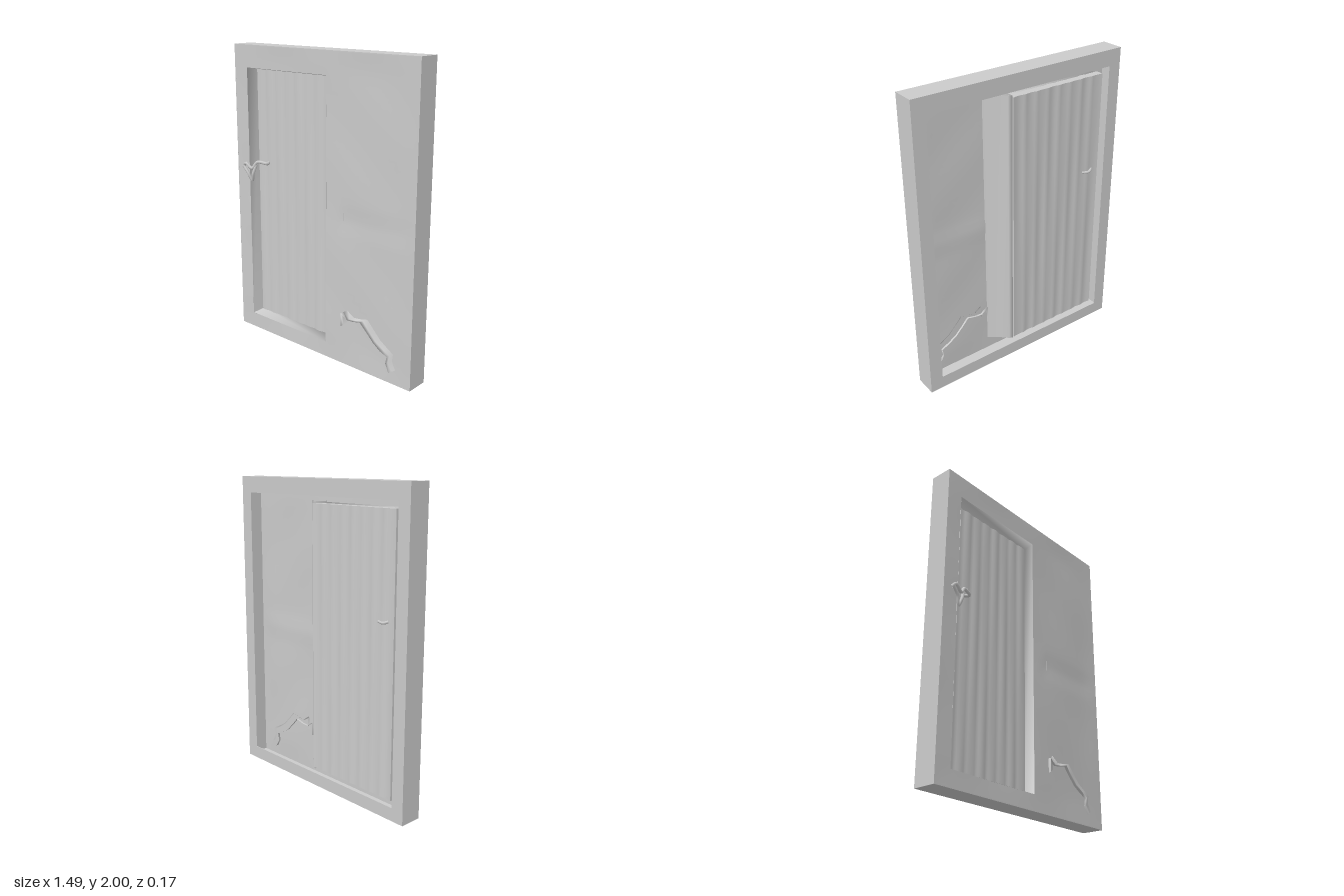
import * as THREE from 'three';

const material = new THREE.MeshStandardMaterial({ color: 0xcccccc, side: THREE.DoubleSide });

function add(parent, name, geometry) {
  const mesh = new THREE.Mesh(geometry, material);
  mesh.name = name;
  parent.add(mesh);
}

// Shift every vertex in z by a smooth rule of x and y
function warp(geometry, rule) {
  const p = geometry.attributes.position;
  for (let i = 0; i < p.count; i++) p.setZ(i, p.getZ(i) + rule(p.getX(i), p.getY(i)));
  geometry.computeVertexNormals();
  return geometry;
}

// Corner points of an upright rectangle
const corners = ([x0, x1, y0, y1]) => [[x0, y0], [x1, y0], [x1, y1], [x0, y1]]
  .map(([x, y]) => new THREE.Vector2(x, y));

// Flat rectangular ring between two rectangles, from z0 to z1
function ring(outer, inner, z0, z1) {
  const shape = new THREE.Shape(corners(outer));
  shape.holes.push(new THREE.Path(corners(inner)));
  return new THREE.ExtrudeGeometry(shape, { depth: z1 - z0, bevelEnabled: false }).translate(0, 0, z0);
}

// Surface through equal rows of points
function loft(sections) {
  const n = sections[0].length, index = [];
  for (let s = 1; s < sections.length; s++) {
    for (let r = 0; r < n - 1; r++) {
      const a = (s - 1) * n + r, b = a + n;
      index.push(a, b, a + 1, b, b + 1, a + 1);
    }
  }
  const geometry = new THREE.BufferGeometry();
  geometry.setAttribute('position', new THREE.Float32BufferAttribute(sections.flat(2), 3));
  geometry.setIndex(index);
  geometry.computeVertexNormals();
  return geometry;
}

const tube = (points, radius) => new THREE.TubeGeometry(
  new THREE.CatmullRomCurve3(points.map((p) => new THREE.Vector3(...p))), 24, radius, 6);

const OUTER = [-0.748, 0.743, 0.005, 2];
const OPENING = [-0.635, 0.06, 0.108, 1.852];
const RECESS = [-0.612, 0.06, 0.125, 1.838];

// Dented plaster skin with the doorway left out of its grid
function plasterSkin() {
  const [x0, x1, y0, y1] = OUTER, [ox0, ox1, oy0, oy1] = OPENING;
  const nx = 30, ny = 40, stepX = (x1 - x0) / nx, stepY = (y1 - y0) / ny;
  const skin = new THREE.PlaneGeometry(x1 - x0, y1 - y0, nx, ny)
    .translate((x0 + x1) / 2, (y0 + y1) / 2, 0.058);
  const p = skin.attributes.position;
  const snap = (v, step, stops) => stops.find((s) => Math.abs(s - v) <= step / 2) ?? v;
  for (let i = 0; i < p.count; i++) {
    p.setX(i, snap(p.getX(i), stepX, [ox0, ox1]));
    p.setY(i, snap(p.getY(i), stepY, [oy0, oy1]));
  }
  const old = skin.index.array, kept = [];
  for (let i = 0; i < old.length; i += 3) {
    const t = [old[i], old[i + 1], old[i + 2]];
    const cx = t.reduce((s, v) => s + p.getX(v), 0) / 3;
    const cy = t.reduce((s, v) => s + p.getY(v), 0) / 3;
    if (cx < ox0 || cx > ox1 || cy < oy0 || cy > oy1) kept.push(...t);
  }
  skin.setIndex(kept);
  return warp(skin, (x, y) => {
    const inside = Math.min(1, 8 * Math.min(x - x0, x1 - x, y - y0, y1 - y));
    const sag = x > 0.18 ? 0.005 * Math.exp(-(((y - 0.98) / 0.06) ** 2)) : 0;
    return inside * (0.003 * Math.sin(9 * x + 4 * y) * Math.sin(7 * y) - 0.003 - sag);
  });
}

export function createModel() {
  const model = new THREE.Group();

  // Hollow wall: thin outer sides, a narrow rim behind and the plaster in front
  add(model, 'outerSides', ring(OUTER, [-0.742, 0.737, 0.011, 1.994], -0.09, 0.058));
  add(model, 'backRim', ring(OUTER, [-0.662, 0.655, 0.09, 1.895], -0.09, -0.086));
  add(model, 'plasterSkin', plasterSkin());

  // Sloping sides of the doorway
  const front = corners(OPENING), back = corners(RECESS);
  add(model, 'doorwaySides', loft([0, 1, 2, 3, 0]
    .map((i) => [[front[i].x, front[i].y, 0.056], [back[i].x, back[i].y, -0.02]]))
    .toNonIndexed());

  // Post beside the door, tapering back to the door edge
  add(model, 'centrePost', loft([[0.06, 0.05], [0.062, -0.055], [0.085, -0.045], [0.13, 0], [0.2, 0.052]]
    .map(([x, z]) => [[x, 0.1, z], [x, 1.86, z]])));

  // Door of eight slightly cupped planks
  const left = -0.628, width = 0.69 / 8;
  const door = new THREE.BoxGeometry(0.69, 1.735, 0.05, 48, 16, 1).translate(left + 0.345, 0.9825, -0.039);
  add(model, 'plankDoor', warp(door, (x, y) => {
    const plank = (x - left) / width;
    return 0.005 * Math.abs(Math.sin(Math.PI * plank)) - 0.003
      + 0.002 * Math.sin(3 * y + 2.3 * Math.floor(plank)) * Math.sin(Math.PI * plank) ** 2;
  }));

  // Twisted latch on the door edge, with its pull behind
  const latch = new THREE.Group();
  latch.name = 'latch';
  model.add(latch);
  add(latch, 'latchBar', tube([[-0.69, 1.18, 0.06], [-0.66, 1.21, 0.068], [-0.61, 1.18, 0.06],
    [-0.57, 1.225, 0.045], [-0.5, 1.22, 0.02], [-0.52, 1.22, -0.01]], 0.011));
  add(latch, 'latchLoop', tube([[-0.68, 1.19, 0.07], [-0.64, 1.14, 0.065], [-0.62, 1.09, 0.05],
    [-0.6, 1.14, 0.06], [-0.58, 1.21, 0.045]], 0.01));
  add(latch, 'rearPull', tube([[-0.58, 1.21, -0.06], [-0.55, 1.2, -0.075], [-0.5, 1.2, -0.06]], 0.009));

  // Narrow raised lip where the plaster has broken away
  const edge = [[0.2, 0.27], [0.2, 0.36], [0.25, 0.325], [0.3, 0.33], [0.36, 0.345], [0.41, 0.29],
    [0.46, 0.24], [0.52, 0.205], [0.57, 0.18], [0.56, 0.13], [0.59, 0.08]];
  add(model, 'brokenPlasterLip', loft(edge.map(([x, y], i) => {
    const lift = 0.07 + 0.004 * Math.sin(i * 2);
    return [[x, y, 0.04], [x, y, lift], [x + 0.015, y + 0.01, 0.062], [x + 0.05, y + 0.03, 0.052]];
  })));

  return model;
}
